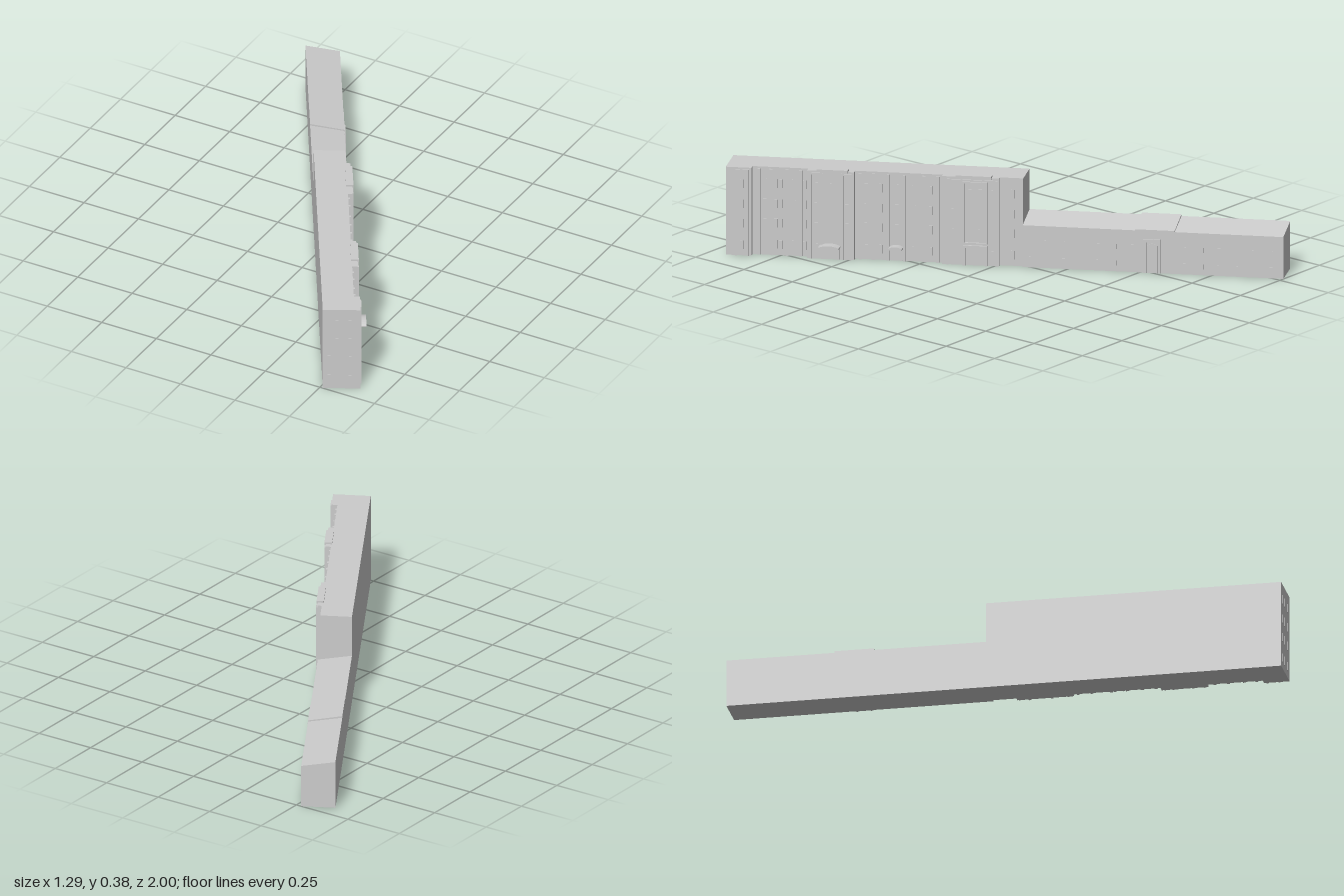
import * as THREE from 'three';
import { mergeGeometries } from 'three/addons/utils/BufferGeometryUtils.js';

// Plan frame: w runs out from the rear wall, u runs along the building.
const plan = new THREE.Matrix4().makeBasis(
  new THREE.Vector3(0.885, 0, -0.465),
  new THREE.Vector3(0, 1, 0),
  new THREE.Vector3(0.5135, 0, 0.858)
).setPosition(-0.645, 0, -0.935);

const material = new THREE.MeshStandardMaterial({ color: 0xcccccc, flatShading: true });

// Block between two plan limits; yOuter lowers the top edge on the facade side.
function block(u0, u1, y0, y1, w0, w1, yOuter = y1) {
  const g = new THREE.BoxGeometry(w1 - w0, y1 - y0, u1 - u0);
  g.translate((w0 + w1) / 2, (y0 + y1) / 2, (u0 + u1) / 2);
  const p = g.attributes.position;
  for (let i = 0; i < p.count; i++) {
    if (p.getX(i) > (w0 + w1) / 2 && p.getY(i) > (y0 + y1) / 2) p.setY(i, yOuter);
  }
  g.applyMatrix4(plan);
  g.computeVertexNormals();
  return g;
}

// Border strips around an opening on the facade; the foot is left open for doors.
function frame(u0, u1, y0, y1, w, t = 0.007, depth = 0.005, sill = false) {
  const parts = [
    block(u0, u0 + t, y0, y1, w - 0.003, w + depth),
    block(u1 - t, u1, y0, y1, w - 0.003, w + depth),
    block(u0 + t, u1 - t, y1 - t, y1, w - 0.003, w + depth)
  ];
  if (sill) parts.push(block(u0 + t, u1 - t, y0, y0 + t, w - 0.003, w + depth));
  return parts;
}

// Half-arched solid standing on the facade.
function arch(u0, u1, y0, ySpring, rise, w0, w1) {
  const s = new THREE.Shape();
  s.moveTo(-u0, y0);
  s.lineTo(-u0, ySpring);
  s.quadraticCurveTo(-(u0 + u1) / 2, ySpring + rise * 2, -u1, ySpring);
  s.lineTo(-u1, y0);
  const g = new THREE.ExtrudeGeometry(s, { depth: w1 - w0, bevelEnabled: false, curveSegments: 8 });
  g.rotateY(Math.PI / 2).translate(w0, 0, 0);
  g.applyMatrix4(plan);
  g.computeVertexNormals();
  return g;
}

export function createModel() {
  const model = new THREE.Group();
  model.name = 'longBuilding';
  const add = (name, ...geos) => {
    const list = geos.map(g => (g.index ? g.toNonIndexed() : g));
    const mesh = new THREE.Mesh(mergeGeometries(list), material);
    mesh.name = name;
    model.add(mesh);
  };

  const LOW = 0.138, TALL = 0.128, END = 2.254;

  // Main volumes
  add('lowWing', block(0, 1.055, 0, 0.2, 0, LOW, 0.176));
  add('raisedRoofSection', block(0.44, 0.6, 0.17, 0.207, 0, LOW + 0.001, 0.181));
  add('tallWing', block(1.055, END, 0, 0.37, 0, TALL));

  // Projecting pavilions
  const pavilions = [[1.15, 1.38, 0.145], [1.735, 1.925, 0.15], [2.15, END, 0.152]];
  for (const [u0, u1, w] of pavilions) add('pavilion', block(u0, u1, 0, 0.37, TALL - 0.01, w));
  add('parapetCaps',
    block(1.18, 1.325, 0.365, 0.377, 0.122, 0.151),
    block(1.76, 1.885, 0.365, 0.377, 0.125, 0.156));

  // Pilasters between the window bays
  const ribs = [];
  for (const u of [1.4, 1.456, 1.535, 1.6, 1.66, 1.715, 1.955, 2.01, 2.075, 2.125]) {
    ribs.push(block(u - 0.006, u + 0.006, 0, 0.362, TALL - 0.003, TALL + 0.007));
  }
  add('pilasters', ...ribs);
  add('pavilionFrames',
    ...frame(1.155, 1.36, 0, 0.36, 0.145),
    ...frame(1.195, 1.295, 0.09, 0.352, 0.145, 0.006, 0.008, true),
    ...frame(1.745, 1.785, 0, 0.362, 0.15),
    ...frame(1.86, 1.915, 0, 0.362, 0.15),
    ...frame(2.16, 2.215, 0, 0.362, 0.152));

  // Tall wing windows, four floors
  const tall = [];
  const columns = [
    [1.098, TALL], [1.172, 0.145], [1.225, 0.145], [1.265, 0.145], [1.34, 0.145],
    [1.428, TALL], [1.495, TALL], [1.567, TALL], [1.63, TALL], [1.69, TALL],
    [1.765, 0.15], [1.825, 0.15], [1.888, 0.15],
    [1.94, TALL], [1.983, TALL], [2.035, TALL], [2.055, TALL], [2.1, TALL], [2.188, 0.152]
  ];
  for (const [u, w] of columns) {
    for (const y of [0.045, 0.135, 0.217, 0.302]) {
      const overDoor = [1.225, 1.265, 1.567, 1.825].includes(u) && y < 0.1;
      if (!overDoor) tall.push(block(u - 0.007, u + 0.007, y - 0.018, y + 0.018, w - 0.003, w + 0.003));
    }
  }
  add('tallWingWindows', ...tall);

  // End wall windows
  const end = [];
  for (const y of [0.045, 0.135, 0.217, 0.302]) {
    for (const w of [0.025, 0.057, 0.11]) {
      end.push(block(END - 0.003, END + 0.002, y - 0.018, y + 0.018, w - 0.006, w + 0.006));
    }
  }
  add('endWallWindows', ...end);

  // Low wing windows, two rows
  const low = [];
  for (let i = 0; i < 15; i++) {
    const u = 0.05 + i * 0.07;
    if (u > 0.46 && u < 0.6) continue;
    for (const y of [0.035, 0.105]) {
      low.push(block(u - 0.006, u + 0.006, y - 0.01, y + 0.01, LOW - 0.003, LOW + 0.002));
    }
  }
  add('lowWingWindows', ...low);

  // Low wing portal
  add('lowWingPortal',
    ...frame(0.496, 0.566, 0, 0.142, LOW, 0.012, 0.006),
    arch(0.51, 0.552, 0, 0.115, 0.008, LOW - 0.003, LOW + 0.002));

  // Tall wing entrances and their canopies
  add('gateway', ...frame(1.195, 1.295, 0, 0.084, 0.145, 0.01, 0.008));
  add('middleEntrance',
    ...frame(1.545, 1.59, 0, 0.052, TALL),
    arch(1.54, 1.595, 0.052, 0.058, 0.008, TALL - 0.003, 0.162));
  add('mainEntrance',
    ...frame(1.795, 1.865, 0, 0.052, 0.15),
    arch(1.79, 1.875, 0.052, 0.057, 0.009, 0.147, 0.187));

  return model;
}
